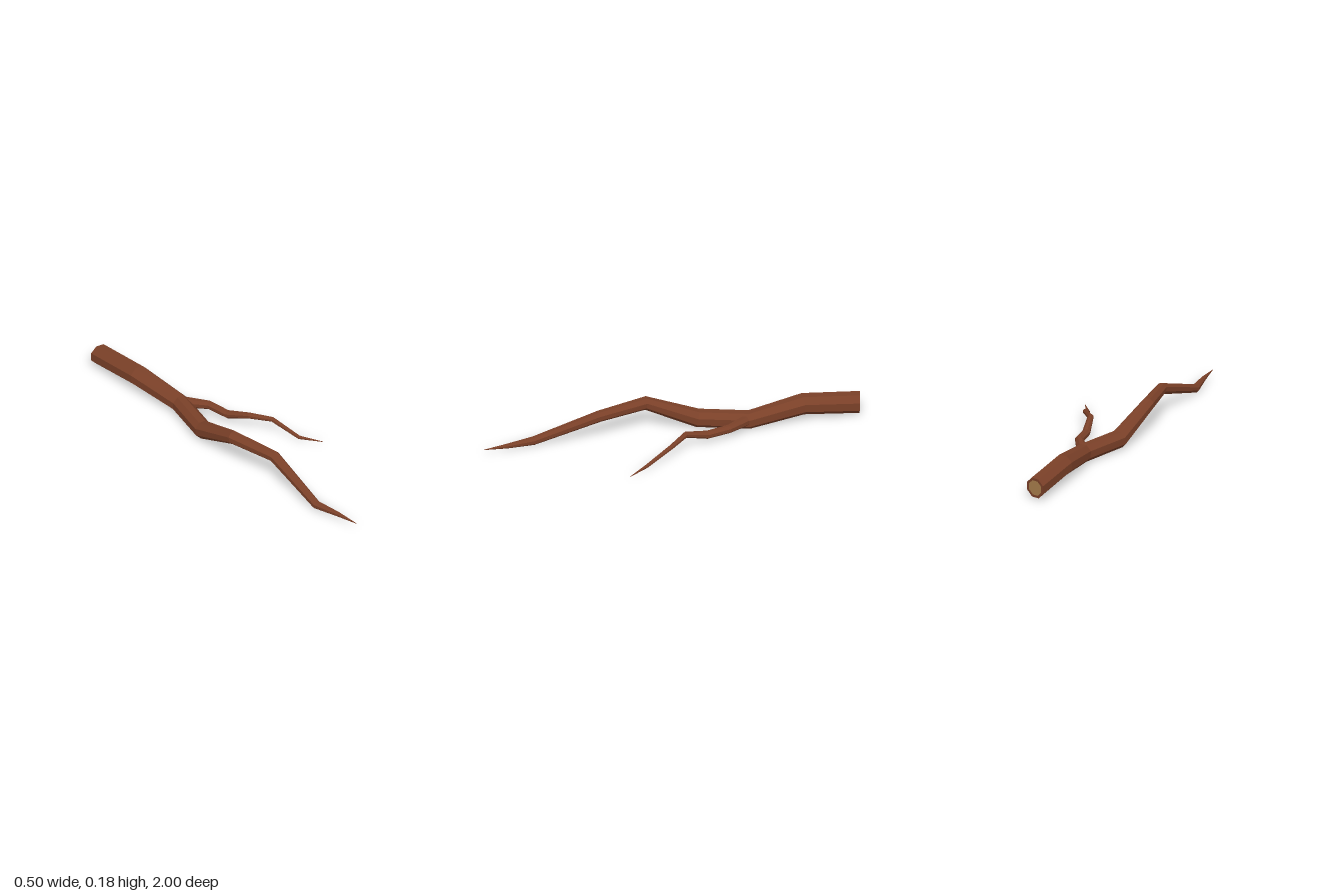
import * as THREE from 'three';

const SIDES = 8;
const UP = new THREE.Vector3(0, 1, 0);

// One octagonal ring (flat on top) around p, facing along t; r is half its flat-to-flat width
function ring(p, t, r) {
  const u = new THREE.Vector3().crossVectors(UP, t).normalize();
  const v = new THREE.Vector3().crossVectors(t, u).normalize();
  const R = r / Math.cos(Math.PI / SIDES);
  return Array.from({ length: SIDES }, (_, j) => {
    const a = ((j + 0.5) / SIDES) * Math.PI * 2;
    return p.clone().addScaledVector(u, R * Math.cos(a)).addScaledVector(v, R * Math.sin(a));
  });
}

// Skin a list of rings
function skin(rings) {
  const tris = [];
  for (let i = 0; i < rings.length - 1; i++) {
    for (let j = 0; j < SIDES; j++) {
      const k = (j + 1) % SIDES;
      const a = rings[i][j], b = rings[i][k], c = rings[i + 1][j], d = rings[i + 1][k];
      tris.push(a, b, c, b, d, c);
    }
  }
  const geo = new THREE.BufferGeometry().setFromPoints(tris);
  geo.computeVertexNormals();
  return geo;
}

// Rings along a path of [x, y, z, r]; startDir tilts the first ring
function pathRings(path, startDir) {
  const pts = path.map(([x, y, z]) => new THREE.Vector3(x, y, z));
  const last = pts.length - 1;
  return pts.map((p, i) => {
    const back = p.clone().sub(pts[Math.max(i - 1, 0)]).normalize();
    const ahead = pts[Math.min(i + 1, last)].clone().sub(p).normalize();
    const t = i === 0 && startDir ? startDir : back.add(ahead).normalize();
    return ring(p, t, path[i][3]);
  });
}

export function createModel() {
  const group = new THREE.Group();
  const bark = new THREE.MeshStandardMaterial({ color: 0x7a4028, flatShading: true });
  const wood = new THREE.MeshStandardMaterial({ color: 0xa87c4c, flatShading: true });
  const add = (name, geo, mat) => {
    const mesh = new THREE.Mesh(geo, mat);
    mesh.name = name;
    group.add(mesh);
  };

  // Main branch, from the sawn end to the tip
  const main = [
    [-0.157, 0.065, -0.99, 0.053],
    [-0.157, 0.09, -0.69, 0.052],
    [-0.122, 0.05, -0.4, 0.045],
    [-0.189, 0.051, -0.14, 0.045],
    [-0.216, 0.157, 0.13, 0.033],
    [-0.156, 0.143, 0.385, 0.028],
    [-0.169, 0.028, 0.73, 0.021],
    [-0.142, 0.029, 0.87, 0.012],
    [-0.126, 0.03, 1.0, 0.001],
  ];
  const cutDir = new THREE.Vector3(-0.19, 0.03, 1).normalize();
  const cut = new THREE.Vector3(...main[0]);
  const rim = ring(cut, cutDir, 0.04);
  add('mainBranch', skin([rim, ...pathRings(main, cutDir)]), bark);

  // Pale wood of the sawn end
  add('cutFace', skin([ring(cut, cutDir, 0), rim]), wood);

  // Thin side branch
  const side = [
    [-0.1, 0.058, -0.375, 0.027],
    [-0.03, 0.063, -0.275, 0.021],
    [-0.006, 0.056, -0.155, 0.02],
    [0.034, 0.094, -0.033, 0.015],
    [0.115, 0.08, 0.057, 0.012],
    [0.174, 0.015, 0.2, 0.009],
    [0.249, 0.007, 0.304, 0.001],
  ];
  add('sideBranch', skin(pathRings(side)), bark);

  return group;
}
